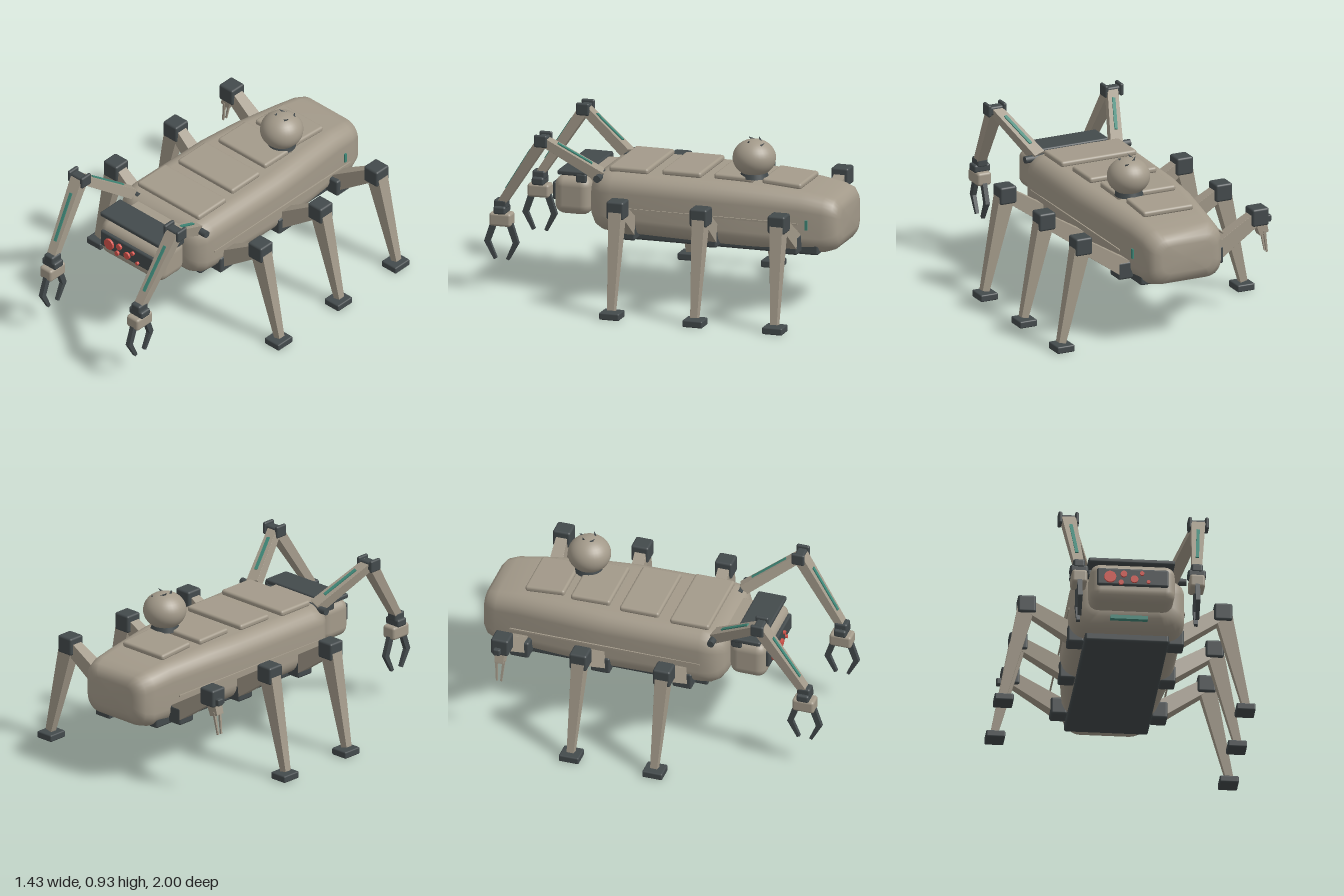
import * as THREE from 'three';
import { RoundedBoxGeometry } from 'three/addons/geometries/RoundedBoxGeometry.js';

const V = (x, y, z) => new THREE.Vector3(x, y, z);

function material(name, color) {
  const m = new THREE.MeshStandardMaterial({ color });
  m.name = name;
  return m;
}

export function createModel() {
  const tan = material('tan shell', 0xa39a8a);
  const dark = material('dark joint', 0x434a4c);
  const teal = material('teal trim', 0x3f8878);
  const red = material('red eye', 0xd4544c);
  const root = new THREE.Group();
  root.name = 'walkingRobot';

  function add(name, geo, mat, pos = V(0, 0, 0), parent = root) {
    const mesh = new THREE.Mesh(geo, mat);
    mesh.name = name;
    mesh.position.copy(pos);
    parent.add(mesh);
    return mesh;
  }

  const rbox = (w, h, d, r = 0.012) => new RoundedBoxGeometry(w, h, d, 3, r);

  // Tapered rounded beam from a to b; sizes are [width, depth] at each end
  function beam(name, a, b, [w0, d0], [w1, d1], mat, stripLength = 0, parent = root, ref = V(1, 0, 0)) {
    const dir = b.clone().sub(a), len = dir.length();
    dir.normalize();
    const geo = rbox(1, len, 1, 0.0001 + Math.min(w1, d1) * 0.18);
    const p = geo.attributes.position;
    for (let i = 0; i < p.count; i++) {
      const t = p.getY(i) / len + 0.5;
      p.setX(i, p.getX(i) * (w0 + (w1 - w0) * t));
      p.setZ(i, p.getZ(i) * (d0 + (d1 - d0) * t));
    }
    geo.computeVertexNormals();
    const x = ref.clone().addScaledVector(dir, -ref.dot(dir)).normalize();
    const g = new THREE.Group();
    g.name = name;
    g.position.copy(a).add(b).multiplyScalar(0.5);
    g.quaternion.setFromRotationMatrix(new THREE.Matrix4().makeBasis(x, dir, x.clone().cross(dir)));
    parent.add(g);
    add(name + 'Shell', geo, mat, undefined, g);
    if (stripLength) {
      const strip = add(name + 'Strip', new THREE.BoxGeometry(0.018, stripLength, 0.009), teal,
        V(0, 0, -(d0 + d1) / 4 - 0.002), g);
      strip.rotation.x = Math.atan((d0 - d1) / 2 / len);
    }
    return g;
  }

  // Body: rounded-rectangle sections [z, half width, bottom, top, corner radius]
  const sections = [
    [0.42, 0.20, 0.47, 0.61, 0.05], [0.412, 0.245, 0.43, 0.65, 0.07], [0.385, 0.285, 0.395, 0.685, 0.09],
    [0.34, 0.31, 0.375, 0.702, 0.1], [0.28, 0.316, 0.37, 0.708, 0.1], [-0.25, 0.312, 0.355, 0.703, 0.1],
    [-0.5, 0.29, 0.345, 0.697, 0.1], [-0.78, 0.252, 0.337, 0.675, 0.095], [-0.91, 0.238, 0.338, 0.655, 0.09],
    [-0.965, 0.22, 0.355, 0.638, 0.085], [-0.99, 0.19, 0.385, 0.61, 0.07], [-1, 0.15, 0.42, 0.575, 0.05],
  ];
  const pos = [], idx = [], arc = 7, n = arc * 4;
  for (const [z, hw, yb, yt, r] of sections) {
    for (let k = 0; k < n; k++) {
      const c = Math.floor(k / arc), ang = (c + (k % arc) / (arc - 1)) * Math.PI / 2;
      const cx = (c === 0 || c === 3 ? 1 : -1) * (hw - r);
      const cy = c < 2 ? yt - r : yb + r;
      pos.push(cx + r * Math.cos(ang), cy + r * Math.sin(ang), z);
    }
  }
  const last = (sections.length - 1) * n, front = pos.length / 3, back = front + 1;
  pos.push(0, 0.54, 0.42, 0, 0.4975, -1);
  for (let j = 0; j < n; j++) {
    const k = (j + 1) % n;
    for (let i = 0; i < last; i += n) idx.push(i + j, i + n + j, i + k, i + k, i + n + j, i + n + k);
    idx.push(front, j, k, back, last + k, last + j);
  }
  const bodyGeo = new THREE.BufferGeometry();
  bodyGeo.setAttribute('position', new THREE.Float32BufferAttribute(pos, 3));
  bodyGeo.setIndex(idx);
  bodyGeo.computeVertexNormals();
  add('body', bodyGeo, tan);
  add('bellyPlate', rbox(0.46, 0.06, 1.2), dark, V(0, 0.363, -0.29));
  add('frontTrim', new THREE.BoxGeometry(0.205, 0.022, 0.03), teal, V(0, 0.423, 0.415));
  add('rearMarker', new THREE.BoxGeometry(0.012, 0.055, 0.014), teal, V(0.25, 0.505, -0.83));

  // Back panels: [centre z, centre x, width, top height, tilt]
  [[0.205, -0.005, 0.46, 0.718, 0], [-0.092, -0.005, 0.41, 0.717, 0],
    [-0.383, -0.003, 0.355, 0.712, -0.02], [-0.653, -0.002, 0.305, 0.697, -0.07]].forEach(([z, x, w, y, tilt], i) => {
    add('backPanel' + (i + 1), rbox(w, 0.034, 0.226, 0.014), tan, V(x, y, z)).rotation.x = tilt;
  });

  // Round pod with small spikes
  add('podBase', new THREE.CylinderGeometry(0.07, 0.08, 0.035, 24), dark, V(0.1, 0.73, -0.48));
  add('pod', new THREE.SphereGeometry(0.119, 32, 20), tan, V(0.102, 0.822, -0.48)).scale.y = 0.86;
  [[-0.015, -0.03, 2.2], [0.045, -0.05, 0.6], [-0.025, 0.018, 3.6], [0.04, 0.02, 5.2]].forEach(([x, z, turn], i) => {
    const spike = add('podSpike' + (i + 1), new THREE.ConeGeometry(0.016, 0.06, 4), dark,
      V(0.102 + x, 0.922 - 5 * (x * x + z * z), -0.48 + z));
    spike.rotation.set(-0.95, turn, 0, 'YXZ');
  });

  // Head
  add('head', rbox(0.465, 0.215, 0.21, 0.055), tan, V(0.002, 0.545, 0.532));
  add('neck', rbox(0.33, 0.1, 0.14), tan, V(-0.005, 0.63, 0.4));
  add('headVisor', rbox(0.475, 0.028, 0.165, 0.01), dark, V(-0.003, 0.676, 0.53));
  for (const s of [-1, 1]) add('visorHinge', rbox(0.025, 0.05, 0.06, 0.01), dark, V(s * 0.225, 0.652, 0.475));
  add('facePlate', rbox(0.392, 0.1, 0.025, 0.01), dark, V(-0.002, 0.56, 0.641));
  [[-0.127, 0.554, 0.033], [-0.052, 0.573, 0.018], [0.006, 0.544, 0.021], [0.048, 0.58, 0.012],
    [-0.067, 0.523, 0.014], [0.083, 0.531, 0.01]].forEach(([x, y, r], i) => {
    add('eye' + (i + 1), new THREE.CylinderGeometry(r, r, 0.014, 24), red, V(x, y, 0.659)).rotation.x = Math.PI / 2;
  });

  for (const s of [-1, 1]) {
    const side = s > 0 ? 'left' : 'right';
    add(side + 'SideRail', new THREE.BoxGeometry(0.008, 0.01, 1.09), tan, V(s * 0.316, 0.525, -0.255));

    // Walking legs; the rear right one ends in a broken stub
    [[0.19, 0.16, 0.15], [-0.28, -0.32, -0.33], [-0.745, -0.77, -0.79]].forEach(([hipZ, kneeZ, footZ], i) => {
      const leg = new THREE.Group();
      leg.name = side + ['Front', 'Middle', 'Rear'][i] + 'Leg';
      root.add(leg);
      const zRef = V(0, 0, 1);
      const knee = V(s * 0.538, 0.585, kneeZ);
      add('hip', rbox(0.09, 0.1, 0.11), dark, V(s * 0.275, 0.4, hipZ), leg);
      beam('upperLeg', V(s * 0.28, 0.415, hipZ - 0.01), knee, [0.085, 0.095], [0.06, 0.075], tan, 0, leg, zRef);
      add('knee', rbox(0.1, 0.1, 0.1), dark, knee, leg);
      if (s < 0 && i === 2) {
        beam('brokenStub', knee, V(-0.57, 0.48, kneeZ), [0.06, 0.07], [0.05, 0.055], tan, 0, leg, zRef);
        for (const t of [-1, 1]) {
          beam('looseStrut', V(-0.57, 0.5, kneeZ + t * 0.022), V(-0.59, 0.37, kneeZ + t * 0.012),
            [0.014, 0.014], [0.01, 0.01], tan, 0, leg, zRef);
        }
        add('kneeBolt', rbox(0.03, 0.04, 0.04, 0.008), dark, V(-0.597, 0.565, kneeZ - 0.01), leg);
        return;
      }
      beam('lowerLeg', knee, V(s * 0.667, 0.045, footZ), [0.075, 0.095], [0.04, 0.042], tan, 0, leg, zRef);
      add('foot', rbox(0.105, 0.04, 0.115, 0.008), dark, V(s * 0.663, 0.02, footZ), leg);
    });

    // Arm: shoulder pin, upper arm, elbow, forearm
    const arm = new THREE.Group();
    arm.name = side + 'Arm';
    root.add(arm);
    add('shoulderPin', new THREE.CylinderGeometry(0.02, 0.02, 0.14, 16), dark, V(s * 0.25, 0.68, 0.355), arm).rotation.z = Math.PI / 2;
    const elbow = V(s * 0.355, 0.885, 0.65);
    beam('upperArm', V(s * 0.235, 0.685, 0.36), elbow, [0.07, 0.06], [0.06, 0.05], tan, 0.22, arm);
    add('elbowBlock', rbox(0.09, 0.05, 0.055), dark, elbow, arm);
    for (const t of [-1, 1]) add('elbowPlate', rbox(0.022, 0.07, 0.075, 0.01), dark, V(s * (0.356 + t * 0.046), 0.89, 0.65), arm);
    beam('forearm', elbow, V(s * 0.324, 0.5, 0.9), [0.078, 0.06], [0.055, 0.045], tan, 0.28, arm);

    // Wrist and gripper
    const hx = s * 0.323, hz = 0.9;
    add('wristCollar', rbox(0.065, 0.05, 0.075), dark, V(hx, 0.5, hz), arm);
    add('wrist', rbox(0.1, 0.045, 0.07), dark, V(hx, 0.468, hz), arm);
    add('palm', rbox(0.085, 0.075, 0.125, 0.015), tan, V(hx, 0.413, hz), arm);
    for (const t of [-1, 1]) {
      const root2 = V(hx, 0.39, hz + t * 0.045), bend = V(hx, 0.275, hz + t * 0.085), tip = V(hx, 0.185, hz + t * 0.035);
      beam('finger', root2, bend, [0.026, 0.034], [0.026, 0.03], dark, 0, arm);
      beam('fingertip', bend.clone().add(V(0, 0.012, 0)), tip, [0.024, 0.03], [0.02, 0.018], dark, 0, arm);
    }
  }
  return root;
}
